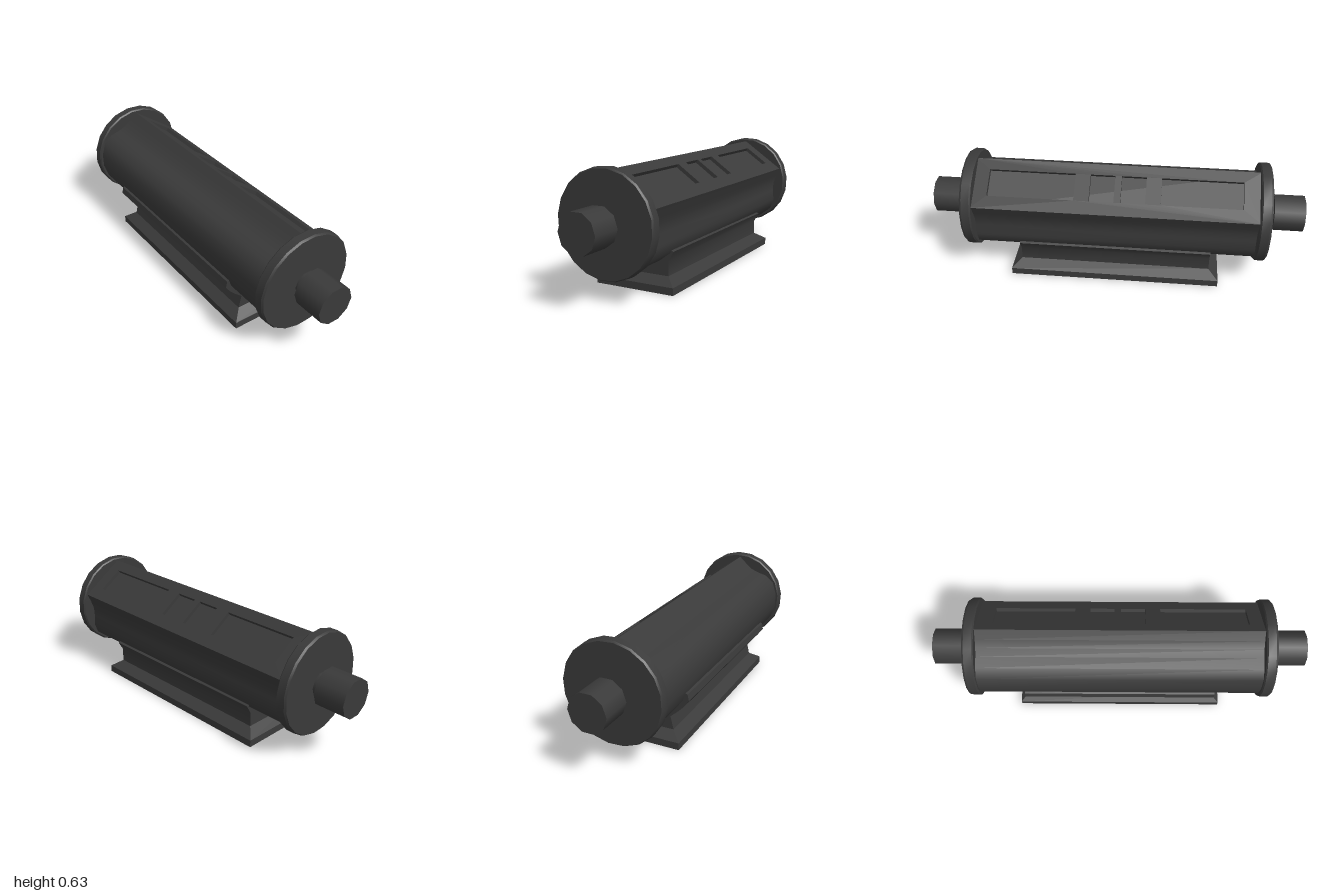
import * as THREE from 'three';
import { toCreasedNormals } from 'three/addons/utils/BufferGeometryUtils.js';

const material = new THREE.MeshStandardMaterial({ color: 0x3a3a3a });
const CY = 0.365; // height of the drum axis

function part(name, geometry) {
  const mesh = new THREE.Mesh(geometry, material);
  mesh.name = name;
  return mesh;
}

// Extrudes an x-y outline along z, centred on z = 0
function prism(points, length) {
  const shape = new THREE.Shape(points.map(([x, y]) => new THREE.Vector2(x, y)));
  const g = new THREE.ExtrudeGeometry(shape, { depth: length, bevelEnabled: false });
  g.translate(0, 0, -length / 2);
  return toCreasedNormals(g, 0.75);
}

// Point on the drum section, by angle in degrees
function polar(degrees, r) {
  const t = THREE.MathUtils.degToRad(degrees);
  return [r * Math.cos(t), CY + r * Math.sin(t)];
}

// Box whose top face is scaled inwards
function taperedBox(w, h, d, topW, topD, y) {
  const g = new THREE.BoxGeometry(w, h, d);
  const p = g.attributes.position;
  for (let i = 0; i < p.count; i++) {
    if (p.getY(i) > 0) {
      p.setX(i, p.getX(i) * topW / w);
      p.setZ(i, p.getZ(i) * topD / d);
    }
  }
  g.computeVertexNormals();
  g.translate(0, y + h / 2, 0);
  return g;
}

// Flange, neck and hub for the +z end
function endCap() {
  const cap = new THREE.Group();
  const profile = [[0, 0.748], [0.258, 0.748], [0.265, 0.755], [0.265, 0.797], [0.259, 0.807], [0, 0.807]]
    .map(([r, z]) => new THREE.Vector2(r, z));
  const flange = toCreasedNormals(new THREE.LatheGeometry(profile, 20, Math.PI / 20 + 0.05), 0.5);
  flange.rotateX(Math.PI / 2);
  cap.add(part('flange', flange));
  for (const [name, r, z0, z1] of [['neck', 0.067, 0.8, 0.84], ['hub', 0.1, 0.838, 1]]) {
    const g = new THREE.CylinderGeometry(r, r, z1 - z0, 10, 1, false, Math.PI / 10);
    g.rotateX(Math.PI / 2);
    g.translate(0, 0, (z0 + z1) / 2);
    cap.add(part(name, g));
  }
  cap.position.y = CY;
  return cap;
}

export function createModel() {
  const group = new THREE.Group();

  // Flat panel line across the upper side of the drum, from 90 to 20 degrees
  const r = 0.247, depth = 0.02, length = 1.51;
  const a = new THREE.Vector3(...polar(90, r), 0);
  const b = new THREE.Vector3(...polar(20, r), 0);
  const along = b.clone().sub(a).normalize();
  const normal = new THREE.Vector3(-along.y, along.x, 0);
  const width = a.distanceTo(b);
  const a2 = a.clone().addScaledVector(normal, -depth);
  const b2 = b.clone().addScaledVector(normal, -depth);

  // Drum: round section, a hollow groove on each side of the panel seat
  const groove = [[0, r], [11, 0.213], [23, 0.195], [36, 0.2], [50, 0.228], [64, r]];
  const outline = groove.map(([t, radius]) => polar(90 + t, radius));
  for (let i = 1; i < 9; i++) outline.push(polar(154 + 18 * i, r));
  for (const [t, radius] of [...groove].reverse()) outline.push(polar(20 - t, radius));
  outline.push([b2.x, b2.y], [a2.x, a2.y]);
  group.add(part('drum', prism(outline, length)));

  // Panel with four recessed windows
  const h = length / 2;
  const rect = (Type, x0, x1, y0, y1) => new Type([
    new THREE.Vector2(x0, y0), new THREE.Vector2(x1, y0),
    new THREE.Vector2(x1, y1), new THREE.Vector2(x0, y1)]);
  const panelShape = rect(THREE.Shape, 0, width, -h, h);
  for (const [z0, z1] of [[-0.665, -0.24], [-0.16, -0.03], [0.005, 0.135], [0.215, 0.675]]) {
    panelShape.holes.push(rect(THREE.Path, 0.061, 0.211, -z1, -z0));
  }
  const panel = new THREE.ExtrudeGeometry(panelShape, { depth, bevelEnabled: false });
  panel.applyMatrix4(new THREE.Matrix4()
    .makeBasis(along, new THREE.Vector3(0, 0, -1), normal).setPosition(a2));
  group.add(part('windowPanel', panel));

  // Matching caps at both ends
  const front = endCap();
  front.name = 'frontEndCap';
  const back = endCap();
  back.name = 'backEndCap';
  back.rotation.y = Math.PI;
  group.add(front, back);

  // Base slab, sloped shoulder and cradle, higher on the -x side
  const slab = new THREE.BoxGeometry(0.44, 0.038, 1.14);
  slab.translate(0, 0.019, 0);
  group.add(part('baseSlab', slab));
  group.add(part('baseShoulder', taperedBox(0.44, 0.037, 1.14, 0.33, 1.035, 0.038)));
  group.add(part('cradle', prism([
    [-0.166, 0.075], [0.165, 0.075], [0.165, 0.15], [0.194, 0.2], [0.15, 0.22],
    [-0.2, 0.3], [-0.243, 0.285], [-0.25, 0.25], [-0.222, 0.212], [-0.188, 0.178], [-0.15, 0.145],
  ], 1.035)));

  return group;
}
